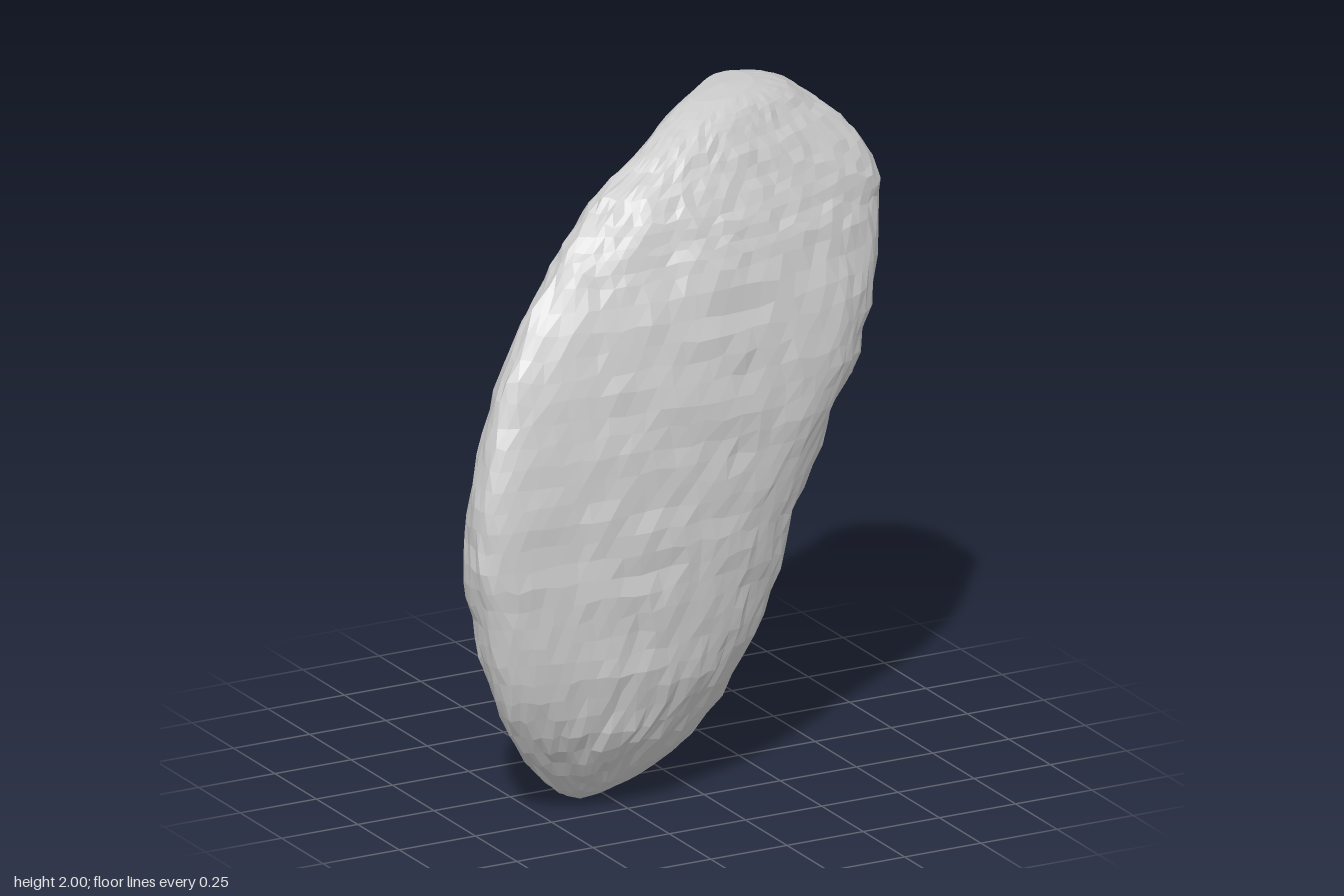
import * as THREE from 'three';

// Horizontal slices: height, then x,z of the left rim, front bulge, right rim and back ridge
const SLICES = [
  [0.02, -0.38, 0.12, -0.31, 0.15, -0.23, 0.11, -0.31, 0.07],
  [0.06, -0.44, 0.14, -0.29, 0.20, -0.13, 0.12, -0.30, 0.04],
  [0.20, -0.57, 0.20, -0.27, 0.30, 0.04, 0.16, -0.34, 0.02],
  [0.40, -0.67, 0.27, -0.20, 0.35, 0.16, 0.20, -0.42, 0.00],
  [0.60, -0.71, 0.29, -0.15, 0.355, 0.26, 0.20, -0.48, -0.01],
  [0.80, -0.745, 0.29, -0.09, 0.35, 0.32, 0.20, -0.47, -0.035],
  [1.00, -0.73, 0.275, -0.02, 0.335, 0.43, 0.18, -0.40, -0.06],
  [1.20, -0.68, 0.24, 0.06, 0.32, 0.56, 0.13, -0.28, -0.10],
  [1.40, -0.59, 0.20, 0.11, 0.29, 0.66, 0.05, -0.13, -0.15],
  [1.60, -0.45, 0.14, 0.10, 0.245, 0.74, -0.06, 0.07, -0.22],
  [1.70, -0.36, 0.10, 0.10, 0.20, 0.75, -0.10, 0.24, -0.29],
  [1.80, -0.24, 0.05, 0.12, 0.14, 0.70, -0.13, 0.39, -0.34],
  [1.90, -0.06, 0.00, 0.16, 0.07, 0.57, -0.15, 0.44, -0.36],
  [1.96, 0.05, -0.06, 0.20, 0.01, 0.48, -0.16, 0.40, -0.33],
  [1.99, 0.15, -0.11, 0.25, -0.06, 0.39, -0.17, 0.33, -0.27],
];
// Dents and rim notches: x, y, z, radius, depth
const DENTS = [
  [-0.12, 1.62, 0.23, 0.09, 0.035],
  [0.48, 1.09, 0.17, 0.06, 0.04],
  [0.35, 0.80, 0.20, 0.06, 0.025],
  [0.62, 1.27, 0.10, 0.05, 0.02],
  [-0.5, 0.85, 0.34, 0.08, 0.015],
  [-0.2, 0.17, 0.27, 0.07, 0.02],
];

const ROWS = 48;
const SIDES = 56;

function seeded(seed) {
  return () => {
    seed = (seed * 16807) % 2147483647;
    return seed / 2147483647 - 0.5;
  };
}

// Eight outline points of one slice; the inner face is hollow below and rounds out at the top
function outline([y, ...v]) {
  const { smoothstep } = THREE.MathUtils;
  const swell = [
    0.24,
    0.22 + 0.11 * smoothstep(y, 0.8, 1.3),
    -0.08 + 0.45 * smoothstep(y, 1.4, 1.74),
    0.29,
  ];
  const main = [0, 2, 4, 6].map((k) => new THREE.Vector3(v[k], y, v[k + 1]));
  const centre = main.reduce((s, p) => s.add(p), new THREE.Vector3()).divideScalar(4);
  return main.flatMap((p, k) => {
    const mid = p.clone().lerp(main[(k + 1) % 4], 0.5);
    return [p, mid.add(mid.clone().sub(centre).multiplyScalar(swell[k]))];
  });
}

function bodyGeometry() {
  const rand = seeded(71);
  const outlines = SLICES.map(outline);
  // Smooth lengthwise curves joining the slices
  const rails = outlines[0].map((_, k) =>
    new THREE.CatmullRomCurve3(outlines.map((o) => o[k]), false, 'centripetal'));
  const pos = [];
  const index = [];
  for (let j = 0; j < ROWS; j++) {
    const t = j / (ROWS - 1);
    const ctrl = rails.map((r) => r.getPoint(t));
    const ring = new THREE.CatmullRomCurve3(ctrl, true, 'centripetal');
    const centre = ctrl.reduce((s, p) => s.add(p), new THREE.Vector3()).divideScalar(8);
    const edge = Math.min(1, j / 6, (ROWS - 1 - j) / 10);
    for (let i = 0; i < SIDES; i++) {
      // Uneven spacing and shallow lumps
      const u = (i + 0.35 * rand() + (j % 2) * 0.5) / SIDES;
      const p = ring.getPoint((u + 1) % 1);
      const out = p.clone().sub(centre).setY(0).normalize();
      let push = edge * (0.010 * rand()
        + 0.006 * Math.sin(9 * p.x + 17 * p.y) * Math.sin(13 * p.y - 11 * p.z + 2));
      for (const [x, y, z, r, depth] of DENTS) {
        const d = p.distanceTo(new THREE.Vector3(x, y, z)) / r;
        push -= depth * Math.exp(-d * d);
      }
      p.addScaledVector(out, push);
      p.y += edge * 0.016 * rand();
      pos.push(p.x, p.y, p.z);
    }
  }
  for (let j = 0; j < ROWS - 1; j++) {
    for (let i = 0; i < SIDES; i++) {
      const n = (i + 1) % SIDES;
      const a = j * SIDES + i, b = j * SIDES + n;
      const c = a + SIDES, d = b + SIDES;
      if (j % 2) index.push(a, b, d, a, d, c);
      else index.push(a, b, c, b, d, c);
    }
  }
  // Closed bottom and top
  const low = pos.length / 3, high = low + 1;
  pos.push(-0.33, 0, 0.11, 0.28, 2, -0.16);
  const last = (ROWS - 1) * SIDES;
  for (let i = 0; i < SIDES; i++) {
    const n = (i + 1) % SIDES;
    index.push(low, n, i, high, last + i, last + n);
  }
  const indexed = new THREE.BufferGeometry();
  indexed.setAttribute('position', new THREE.Float32BufferAttribute(pos, 3));
  indexed.setIndex(index);
  const geometry = indexed.toNonIndexed();
  geometry.computeVertexNormals();
  return geometry;
}

export function createModel() {
  const model = new THREE.Group();
  model.name = 'curvedBeanBody';
  const material = new THREE.MeshStandardMaterial({ color: 0xcccccc, flatShading: true });
  const body = new THREE.Mesh(bodyGeometry(), material);
  body.name = 'body';
  model.add(body);
  return model;
}
